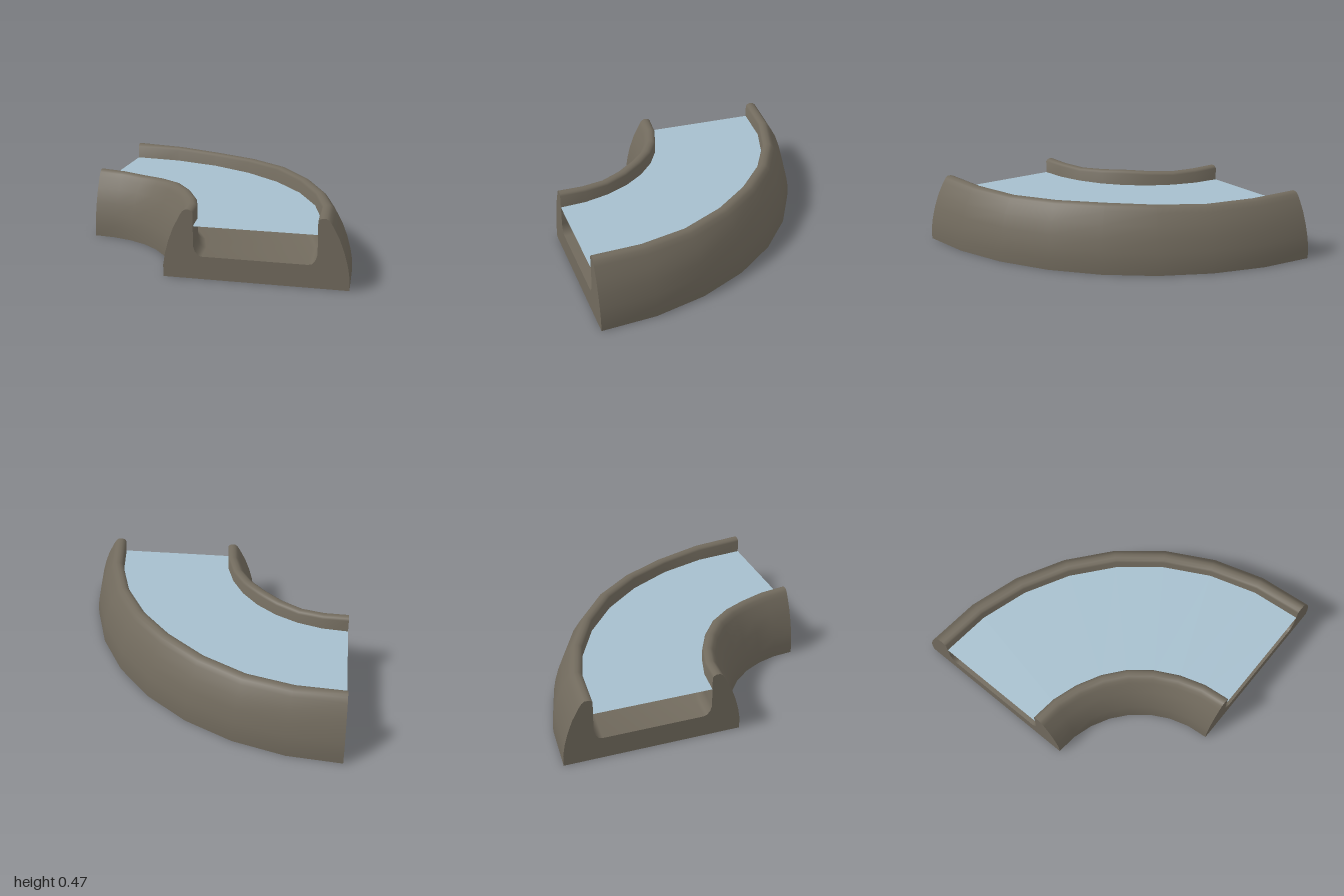
import * as THREE from 'three';
import { toCreasedNormals } from 'three/addons/utils/BufferGeometryUtils.js';

const STEPS = 8; // segments in the quarter bend
const WATER_Y = 0.36;

// Channel cross-section as [radius, height], counter-clockwise from the outer foot
const PROFILE = [
  [2, 0], [2, 0.08], [1.987, 0.16], [1.963, 0.25], [1.93, 0.34], [1.885, 0.425],
  [1.865, 0.455], [1.845, 0.469], [1.82, 0.47], [1.8, 0.463], [1.79, 0.45],
  [1.79, 0.225], [1.778, 0.19], [1.755, 0.162], [1.73, 0.155],
  [1.02, 0.155], [0.997, 0.162], [0.974, 0.19], [0.963, 0.225],
  [0.963, 0.45], [0.953, 0.463], [0.935, 0.47], [0.91, 0.469], [0.89, 0.455],
  [0.872, 0.425], [0.828, 0.34], [0.794, 0.25], [0.77, 0.16], [0.757, 0.08], [0.757, 0],
];

// Point on the bend: angle 0 is the front end, 90 degrees the left-hand end
function bendPoint(r, y, step) {
  const t = (step / STEPS) * Math.PI / 2;
  return [-1 + r * Math.cos(t), y, 1 - r * Math.sin(t)];
}

// Sweeps the section round the bend, with a gently waving rim and closed ends
function channelGeometry() {
  const n = PROFILE.length, pos = [], index = [];
  for (let i = 0; i <= STEPS; i++) {
    const dip = 0.0075 * (1 - Math.cos(i * Math.PI / 2));
    for (const [r, y] of PROFILE) pos.push(...bendPoint(r, y > 0.4 ? y - dip : y, i));
  }
  for (let i = 0; i < STEPS; i++) {
    for (let j = 0; j < n; j++) {
      const k = (j + 1) % n, a = i * n, b = a + n;
      index.push(a + j, b + j, b + k, a + j, b + k, a + k);
    }
  }
  const outline = PROFILE.map(([r, y]) => new THREE.Vector2(r, y));
  for (const [a, b, c] of THREE.ShapeUtils.triangulateShape(outline, [])) {
    const e = STEPS * n;
    index.push(a, b, c, e + c, e + b, e + a);
  }
  const g = new THREE.BufferGeometry();
  g.setAttribute('position', new THREE.Float32BufferAttribute(pos, 3));
  g.setIndex(index);
  return toCreasedNormals(g, 0.9);
}

// Flat sheet between the two inner walls
function waterGeometry() {
  const pos = [], index = [];
  for (let i = 0; i <= STEPS; i++) {
    pos.push(...bendPoint(1.79, WATER_Y, i), ...bendPoint(0.963, WATER_Y, i));
    const a = i * 2;
    if (i < STEPS) index.push(a, a + 2, a + 3, a, a + 3, a + 1);
  }
  const g = new THREE.BufferGeometry();
  g.setAttribute('position', new THREE.Float32BufferAttribute(pos, 3));
  g.setIndex(index);
  g.computeVertexNormals();
  return g;
}

export function createModel() {
  const stone = new THREE.MeshStandardMaterial({ color: 0x716a5d });
  stone.name = 'stone';
  const water = new THREE.MeshStandardMaterial({ color: 0xa6bfcd, side: THREE.DoubleSide });
  water.name = 'water';

  const group = new THREE.Group();
  group.name = 'curvedChannel';
  const channel = new THREE.Mesh(channelGeometry(), stone);
  channel.name = 'channel';
  const surface = new THREE.Mesh(waterGeometry(), water);
  surface.name = 'waterSurface';
  group.add(channel, surface);
  return group;
}
